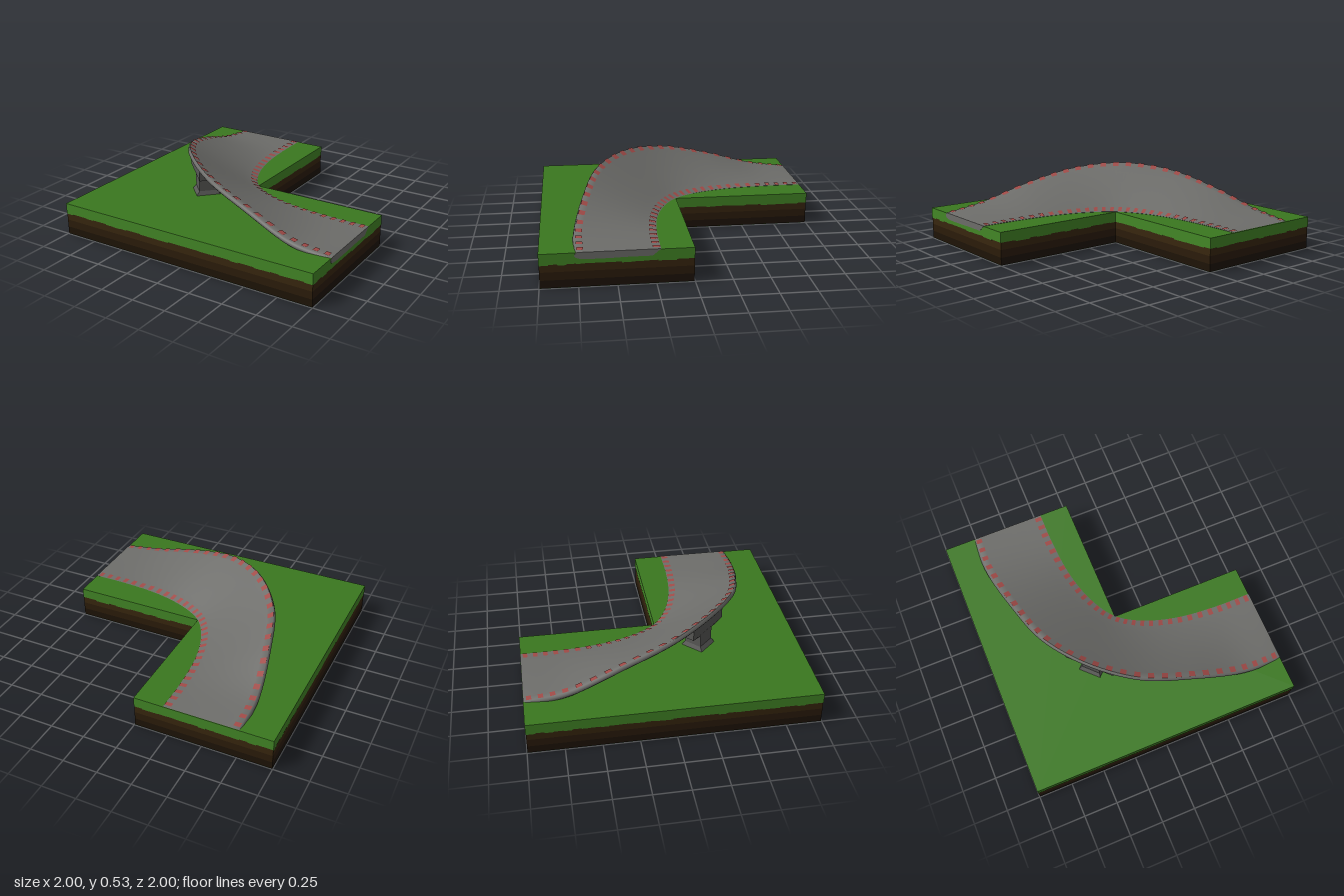
import * as THREE from 'three';
import { mergeGeometries, toCreasedNormals } from 'three/addons/utils/BufferGeometryUtils.js';

const material = (name, color, side = THREE.FrontSide) => {
  const m = new THREE.MeshStandardMaterial({ color, side });
  m.name = name;
  return m;
};

// Small seeded generator for the ragged grass edge and the underside patches
function seeded(seed) {
  return () => {
    seed = (seed * 16807) % 2147483647;
    return seed / 2147483647;
  };
}

// L outline; e is the half size, the +x -z quarter is left out
const lOutline = e => [[-e, -e], [e - 1, -e], [e - 1, 1 - e], [e, 1 - e], [e, e], [-e, e]];

// L-shaped slab between two heights
function lSlab(e, y0, y1) {
  const shape = new THREE.Shape(lOutline(e).map(p => new THREE.Vector2(...p)));
  const g = new THREE.ExtrudeGeometry(shape, { depth: y1 - y0, bevelEnabled: false });
  return g.rotateX(Math.PI / 2).translate(0, y1, 0);
}

// Box with different bottom and top sizes; tilt lowers the back of the top
function taperedBox(w0, d0, y0, w1, d1, y1, tilt = 0) {
  const g = new THREE.BoxGeometry(1, 1, 1);
  const p = g.attributes.position;
  for (let i = 0; i < p.count; i++) {
    const x = p.getX(i), z = p.getZ(i), top = p.getY(i) > 0;
    p.setXYZ(i, x * (top ? w1 : w0), top ? y1 + tilt * (z - 0.5) : y0, z * (top ? d1 : d0));
  }
  const flat = g.toNonIndexed();
  flat.computeVertexNormals();
  return flat;
}

// Edge curves of the road: half is given, the rest mirrors across the diagonal
const ROAD_Y = 0.238;
const mirrored = half => {
  const pts = half.map(p => new THREE.Vector3(...p));
  const rest = half.slice(0, -1).reverse().map(([x, y, z]) => new THREE.Vector3(-z, y, -x));
  return new THREE.CatmullRomCurve3([...pts, ...rest], false, 'catmullrom', 0.5);
};
const outerEdge = mirrored([
  [-0.772, ROAD_Y, -1], [-0.772, 0.283, -0.69], [-0.7, 0.4, -0.31],
  [-0.588, 0.49, 0.05], [-0.36, 0.527, 0.36],
]);
const innerEdge = mirrored([
  [-0.22, ROAD_Y, -1], [-0.218, ROAD_Y, -0.73], [-0.19, ROAD_Y, -0.44],
  [-0.118, ROAD_Y, -0.19], [0, ROAD_Y, 0],
]);

// Point on the banked road: u along, t across; the bank levels off near the outer rim
function roadPoint(u, t, lift = 0) {
  const a = innerEdge.getPoint(u), b = outerEdge.getPoint(u);
  const p = a.clone().lerp(b, t);
  p.y = a.y + (b.y - a.y) * Math.pow(Math.min(1, t / 0.97), 1.12) + lift;
  return p;
}

function roadGeometry() {
  const section = [
    [0, 0], [0.1, 0], [0.2, 0], [0.4, 0], [0.6, 0], [0.8, 0], [0.89, 0], [0.97, 0],
    [0.99, -0.009], [1, -0.024], [0.985, -0.036], [0.94, -0.044],
    [0.85, -0.048], [0.6, -0.048], [0.4, -0.045], [0.2, -0.045], [0.1, -0.045],
  ];
  const n = section.length, steps = 90, start = 0.0015, pos = [], index = [];
  for (let i = 0; i <= steps; i++) {
    const u = start + (1 - start) * i / steps;
    for (const [t, drop] of section) pos.push(...roadPoint(u, t, drop).toArray());
  }
  for (let i = 0; i < steps; i++)
    for (let j = 0; j < n; j++) {
      const k = (j + 1) % n, a = i * n + j, b = a + n, c = i * n + k, d = c + n;
      index.push(a, c, b, b, c, d);
    }
  // Closed end on the +x side
  const last = steps * n;
  for (let j = 1; j < n - 1; j++) index.push(last, last + j, last + j + 1);
  const g = new THREE.BufferGeometry();
  g.setAttribute('position', new THREE.Float32BufferAttribute(pos, 3));
  g.setIndex(index);
  return toCreasedNormals(g, 1.2);
}

// Row of short painted dashes following the surface between t0 and t1
function dashGeometry(t0, t1) {
  const count = 30, cuts = 3, pos = [], index = [];
  for (let i = 0; i < count; i++)
    for (let j = 0; j <= cuts; j++) {
      const t = t0 + (t1 - t0) * j / cuts, s = pos.length / 3;
      for (const f of [0.28, 0.5, 0.72]) pos.push(...roadPoint((i + f) / count, t, 0.005).toArray());
      if (j < cuts) for (const a of [s, s + 1]) index.push(a, a + 3, a + 1, a + 1, a + 3, a + 4);
    }
  const g = new THREE.BufferGeometry();
  g.setAttribute('position', new THREE.Float32BufferAttribute(pos, 3));
  g.setIndex(index);
  g.computeVertexNormals();
  return g;
}

// Uneven tufts hanging from the grass layer around the outline
function fringeGeometry() {
  const rand = seeded(17), parts = [], corners = lOutline(0.996);
  corners.forEach(([x0, z0], i) => {
    const [x1, z1] = corners[(i + 1) % corners.length];
    const alongZ = Math.abs(x1 - x0) < 0.01;
    const length = Math.hypot(x1 - x0, z1 - z0), n = Math.round(length / 0.06);
    for (let k = 0; k < n; k++) {
      if (rand() < 0.4) continue;
      const h = 0.003 + rand() * 0.006, f = (k + 0.5) / n, w = length / n;
      const g = new THREE.BoxGeometry(alongZ ? 0.003 : w, h, alongZ ? w : 0.003);
      parts.push(g.translate(x0 + (x1 - x0) * f, 0.163 - h / 2, z0 + (z1 - z0) * f));
    }
  });
  return mergeGeometries(parts);
}

// Irregular flat patches on the underside
function patchGeometry() {
  const rand = seeded(91), parts = [];
  while (parts.length < 80) {
    const x = rand() * 1.86 - 0.93, z = rand() * 1.86 - 0.93;
    if (x > -0.06 && z < 0.06) continue;
    const g = new THREE.CircleGeometry(0.016 + rand() * 0.026, 5 + Math.floor(rand() * 3));
    g.scale(0.6 + rand() * 0.8, 1, 1).rotateZ(rand() * 6).rotateX(Math.PI / 2);
    parts.push(g.translate(x, 0, z));
  }
  return mergeGeometries(parts);
}

export function createModel() {
  const grass = material('grass green', 0x3a781f);
  const grassSide = material('grass side green', 0x438726);
  const soil = material('soil brown', 0x38260e);
  const midSoil = material('middle soil brown', 0x2b1c0a);
  const deepSoil = material('deep soil brown', 0x1e1306);
  const under = material('underside green', 0x337a20);
  const patch = material('patch green', 0x56962f);
  const asphalt = material('asphalt grey', 0x6d6d6a);
  const concrete = material('concrete grey', 0x585856);
  const red = material('marking red', 0xa04a47, THREE.DoubleSide);

  const model = new THREE.Group();
  const add = (name, geometry, mat, parent = model) => {
    const mesh = new THREE.Mesh(geometry, mat);
    mesh.name = name;
    parent.add(mesh);
  };

  // Layered ground
  add('grassLayer', lSlab(0.998, 0.162, 0.235), [grass, grassSide]);
  add('grassFringe', fringeGeometry(), grassSide);
  add('soilLayer', lSlab(0.996, 0.11, 0.162), soil);
  add('middleSoilLayer', lSlab(0.996, 0.055, 0.11), midSoil);
  add('deepSoilLayer', lSlab(0.996, 0.002, 0.055), deepSoil);
  add('underside', lSlab(0.996, 0.001, 0.002), under);
  add('undersidePatches', patchGeometry(), patch);

  // Banked curve with dashed borders
  add('road', roadGeometry(), asphalt);
  add('innerDashes', dashGeometry(0.005, 0.095), red);
  add('outerDashes', dashGeometry(0.893, 0.972), red);

  // Support under the raised side of the bend
  const pillar = new THREE.Group();
  pillar.name = 'supportPillar';
  pillar.position.set(-0.28, 0, 0.28);
  pillar.rotation.y = -Math.PI / 4;
  model.add(pillar);
  add('pillarBase', taperedBox(0.17, 0.18, 0.23, 0.14, 0.13, 0.265), concrete, pillar);
  add('pillarShaft', taperedBox(0.14, 0.13, 0.26, 0.14, 0.13, 0.37), concrete, pillar);
  add('pillarNeck', taperedBox(0.16, 0.13, 0.36, 0.37, 0.16, 0.39), concrete, pillar);
  add('pillarCap', taperedBox(0.37, 0.16, 0.39, 0.37, 0.16, 0.5, 0.095), concrete, pillar);
  return model;
}
